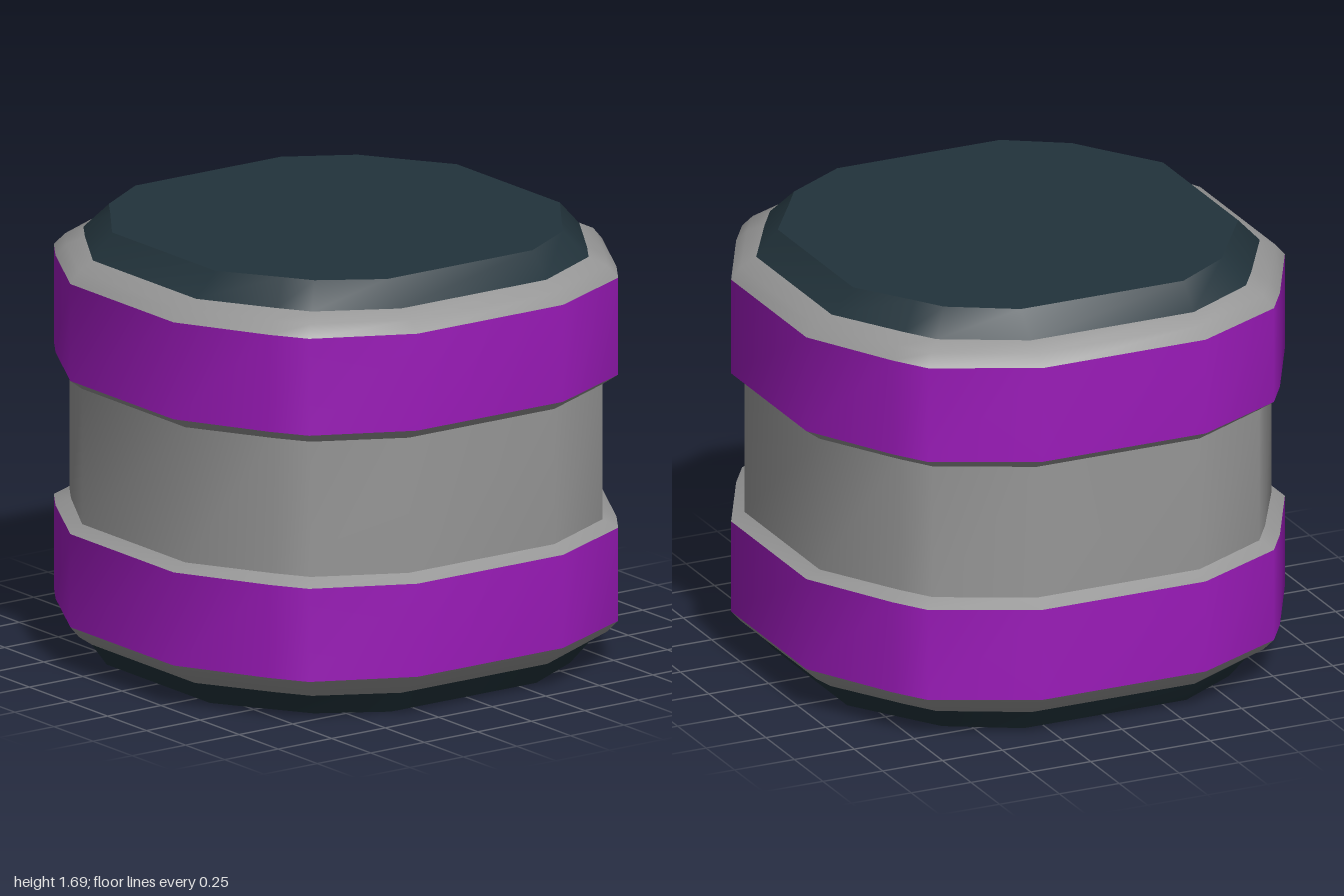
import * as THREE from 'three';

const SIDES = 16;

// Faceted outline at half-width r: straight sides keep their length, corners scale.
function outline(r, y) {
  if (r === 0) return Array.from({ length: SIDES }, () => [0, y, 0]);
  const cx = 0.722 * r, cz = 0.817 * r; // main corner
  const bx = 0.81 * r, bz = 0.685 * r; // slight bend beside it
  return [
    [-0.35, r], [0.33, r], [cx, cz], [bx, bz],
    [r, 0.33], [r, -0.33], [bx, -bz], [cx, -cz],
    [0.33, -r], [-0.35, -r], [-cx, -cz], [-bx, -bz],
    [-r, -0.33], [-r, 0.33], [-bx, bz], [-cx, cz],
  ].map(([x, z]) => [x, y, z]);
}

// Band joining outlines from bottom to top; smooth around, sharp against its neighbours.
function band(name, material, profile) {
  const positions = profile.flatMap(([r, y]) => outline(r, y)).flat();
  const index = [];
  for (let k = 0; k < profile.length - 1; k++) {
    for (let i = 0; i < SIDES; i++) {
      const a = k * SIDES + i, b = k * SIDES + (i + 1) % SIDES;
      index.push(a, b, b + SIDES, a, b + SIDES, a + SIDES);
    }
  }
  const geometry = new THREE.BufferGeometry();
  geometry.setAttribute('position', new THREE.Float32BufferAttribute(positions, 3));
  geometry.setIndex(index);
  geometry.computeVertexNormals();
  const mesh = new THREE.Mesh(geometry, material);
  mesh.name = name;
  return mesh;
}

export function createModel() {
  const grey = new THREE.MeshStandardMaterial({ color: 0x969696 });
  const purple = new THREE.MeshStandardMaterial({ color: 0x9a1ab8 });
  const dark = new THREE.MeshStandardMaterial({ color: 0x22333b });

  const model = new THREE.Group();
  model.name = 'canister';
  model.add(
    // Dark base
    band('baseBottom', dark, [[0, 0], [0.83, 0]]),
    band('baseRim', dark, [[0.83, 0], [0.9, 0.09]]),
    // Lower ring
    band('lowerRingUnderBevel', grey, [[0.9, 0.09], [0.96, 0.13], [1, 0.175]]),
    band('lowerRing', purple, [[1, 0.175], [1, 0.54]]),
    band('lowerRingTopBevel', grey, [[1, 0.54], [0.945, 0.57]]),
    // Recessed waist
    band('waist', grey, [[0.945, 0.57], [0.945, 1.1]]),
    // Upper ring
    band('upperRingUnderBevel', grey, [[0.945, 1.1], [1, 1.14]]),
    band('upperRing', purple, [[1, 1.14], [1, 1.52]]),
    band('upperRingTopBevel', grey, [[1, 1.52], [0.96, 1.565], [0.895, 1.595]]),
    // Dark lid
    band('lidRim', dark, [[0.895, 1.595], [0.805, 1.69]]),
    band('lidTop', dark, [[0.805, 1.69], [0, 1.69]]),
  );
  return model;
}
